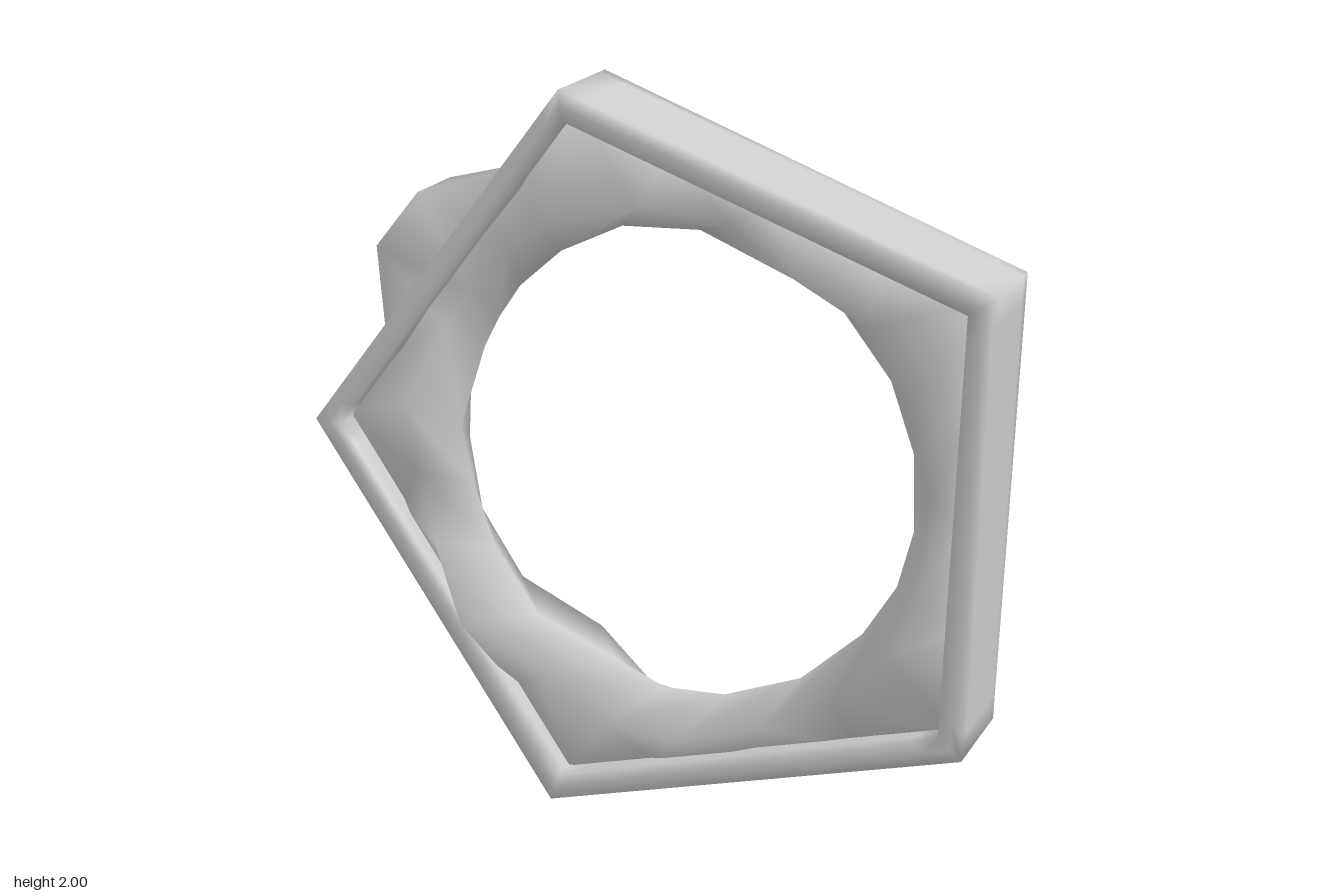
import * as THREE from 'three';

// Corner points of the five-sided frame, clockwise from the top
const OUTER = [[-0.2, 2], [0.955, 1.59], [0.925, 0.36], [-0.25, 0], [-0.955, 1.02]];
const INNER = [[-0.19, 1.92], [0.89, 1.545], [0.86, 0.41], [-0.225, 0.08], [-0.875, 1.02]];
const CENTRE = [0.09, 1];

// Per side of the frame: hole edge x, y, then front and back crest heights
// and, where the ring bulges through the frame, its outer x, y
const RING = [
  [[-0.1, 1.62, 0.12, -0.21], [0.13, 1.64, 0.12, -0.13], [0.35, 1.59, 0.225, -0.12], [0.51, 1.49, 0.13, -0.13]],
  [[0.63, 1.36, 0.13, -0.18], [0.72, 1.15, 0.13, -0.15], [0.735, 0.93, 0.17, -0.18], [0.69, 0.75, 0.17, -0.18]],
  [[0.6, 0.6, 0.12, -0.13], [0.43, 0.44, 0.11, -0.12], [0.22, 0.36, 0.17, -0.11], [0.04, 0.345, 0.17, -0.13]],
  [[-0.13, 0.38, 0.13, -0.245], [-0.33, 0.5, 0.24, -0.13], [-0.47, 0.67, 0.16, -0.12], [-0.54, 0.84, 0.15, -0.15]],
  [[-0.56, 1.02, 0.25, -0.14], [-0.51, 1.24, 0.11, -0.185], [-0.455, 1.335, 0.1, -0.12, -0.77, 1.52],
    [-0.39, 1.43, 0.1, -0.12, -0.64, 1.68], [-0.25, 1.55, 0.23, -0.13]],
];

const mix = (a, b, t) => [a[0] + (b[0] - a[0]) * t, a[1] + (b[1] - a[1]) * t];

// Skin a closed loop of closed cross-sections with shared, smooth normals
function loft(name, sections) {
  const n = sections.length, m = sections[0].length, index = [];
  for (let i = 0; i < n; i++) {
    for (let j = 0; j < m; j++) {
      const i2 = (i + 1) % n, j2 = (j + 1) % m;
      const a = i * m + j, b = i2 * m + j, c = i2 * m + j2, d = i * m + j2;
      index.push(a, b, c, a, c, d);
    }
  }
  const geometry = new THREE.BufferGeometry();
  geometry.setAttribute('position', new THREE.Float32BufferAttribute(sections.flat(2), 3));
  geometry.setIndex(index);
  geometry.computeVertexNormals();
  const mesh = new THREE.Mesh(geometry, new THREE.MeshStandardMaterial({ color: 0xcccccc }));
  mesh.name = name;
  return mesh;
}

// Rectangular bar round the pentagon, with support loops beside its edges
function frame() {
  const Z = 0.138, S = 0.105;
  const profile = [[0, Z], [0.5, Z], [1, Z], [1, S], [1, -S],
    [1, -Z], [0.5, -Z], [0, -Z], [0, -S], [0, S]];
  const sections = [];
  for (let s = 0; s < 5; s++) {
    for (const t of [0, 0.06, 0.94]) {
      const p = mix(INNER[s], INNER[(s + 1) % 5], t);
      const q = mix(OUTER[s], OUTER[(s + 1) % 5], t);
      sections.push(profile.map(([u, z]) => [...mix(p, q, u), z]));
    }
  }
  return loft('pentagonFrame', sections);
}

// Lumpy ring filling the frame round a roughly circular hole;
// its crests sit half a step round from the hole's corners
function lumpyRing() {
  const corners = INNER.map((p, i) => mix(p, OUTER[i], 0.4));
  const columns = RING.flatMap((side, s) => side.map(([x, y, front, back, ...bulge], k) => ({
    edge: [x, y], front, back,
    rim: bulge.length ? bulge : mix(corners[s], corners[(s + 1) % 5], k / side.length),
    rimZ: bulge.length ? 0.09 : 0.06,
  })));
  const sections = columns.map(({ edge, front, back, rim, rimZ }, i) => {
    const next = columns[(i + 1) % columns.length];
    const crest = mix(CENTRE, mix(edge, next.edge, 0.5), 1.13);
    return [
      [...edge, (front + back) * 0.3], [...crest, front],
      [...rim, rimZ], [...rim, -rimZ], [...crest, back],
    ];
  });
  return loft('lumpyInnerRing', sections);
}

export function createModel() {
  const group = new THREE.Group();
  group.name = 'pentagonRing';
  group.add(frame(), lumpyRing());
  return group;
}
